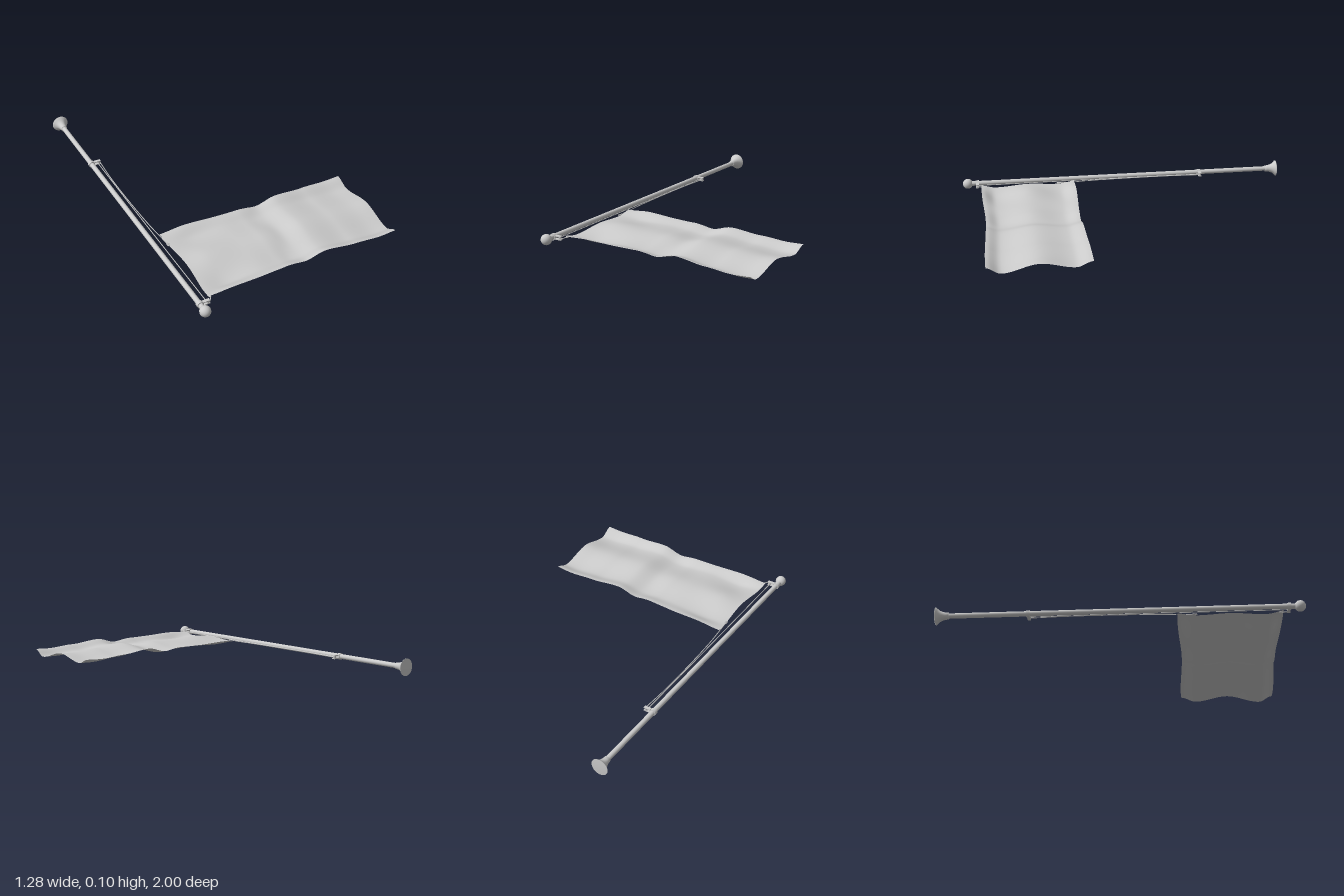
import * as THREE from 'three';

const POLE_X = -0.593, POLE_Y = 0.05;
const V = (x, y, z) => new THREE.Vector3(x, y, z);

// smooth interpolation through [position, value] pairs
function sample(points, t) {
  let i = 0;
  while (i < points.length - 2 && t > points[i + 1][0]) i++;
  const [a, va] = points[i], [b, vb] = points[i + 1];
  const k = THREE.MathUtils.smoothstep(t, a, b);
  return va + (vb - va) * k;
}

export function createModel() {
  const group = new THREE.Group();
  const mat = new THREE.MeshStandardMaterial({ color: 0xcccccc });
  const clothMat = new THREE.MeshStandardMaterial({ color: 0xcccccc, side: THREE.DoubleSide });

  const add = (name, geo, x = 0, y = 0, z = 0, parent = group, m = mat) => {
    const mesh = new THREE.Mesh(geo, m);
    mesh.name = name;
    mesh.position.set(x, y, z);
    parent.add(mesh);
    return mesh;
  };
  const rope = (name, pts, r = 0.0025) =>
    add(name, new THREE.TubeGeometry(new THREE.CatmullRomCurve3(pts), 48, r, 6));

  // pole lying along z
  const pole = new THREE.CylinderGeometry(0.0145, 0.0145, 1.92, 24).rotateX(Math.PI / 2);
  add('pole', pole, POLE_X, POLE_Y, 0);

  // flared foot with closed end
  const profile = [[0, 0], [0.049, 0], [0.049, 0.003], [0.041, 0.011], [0.031, 0.022],
    [0.024, 0.038], [0.02, 0.055], [0.019, 0.07], [0.0145, 0.071]];
  const foot = new THREE.LatheGeometry(profile.map(p => new THREE.Vector2(...p)), 32).rotateX(Math.PI / 2);
  add('flaredFoot', foot, POLE_X, POLE_Y, -1);

  // ball finial
  add('ballFinial', new THREE.SphereGeometry(0.031, 24, 16), POLE_X, POLE_Y, 0.969);

  // pulley brackets: collar, arm and small wheel
  for (const [name, z] of [['lowerBracket', -0.495], ['upperBracket', 0.91]]) {
    const bracket = new THREE.Group();
    bracket.name = name;
    bracket.position.set(POLE_X, POLE_Y, z);
    group.add(bracket);
    add('collar', new THREE.CylinderGeometry(0.019, 0.019, 0.02, 24).rotateX(Math.PI / 2), 0, 0, 0, bracket);
    for (const s of [-1, 1]) {
      add('cheek', new THREE.BoxGeometry(0.04, 0.005, 0.018), 0.036, s * 0.009, 0, bracket);
    }
    add('wheel', new THREE.CylinderGeometry(0.009, 0.009, 0.014, 16), 0.046, 0, 0, bracket);
  }

  // halyard: one straight run, and one that reaches the cloth corner
  rope('halyardInner', [V(-0.555, 0.05, -0.495), V(-0.556, 0.05, -0.1), V(-0.555, 0.05, 0.4), V(-0.553, 0.05, 0.91)]);
  rope('halyardOuter', [V(-0.54, 0.05, -0.495), V(-0.549, 0.05, -0.3), V(-0.548, 0.05, 0),
    V(-0.54, 0.05, 0.22), V(-0.53, 0.05, 0.34), V(-0.525, 0.052, 0.41)]);
  rope('halyardTop', [V(-0.54, 0.05, 0.915), V(-0.528, 0.05, 0.905), V(-0.52, 0.054, 0.882), V(-0.513, 0.054, 0.865)]);

  // clips at the cloth corners
  for (const [x, z] of [[-0.525, 0.405], [-0.52, 0.875]]) {
    const clip = add('clip', new THREE.TorusGeometry(0.009, 0.0025, 8, 16), x, 0.052, z);
    clip.rotation.set(Math.PI / 2, 0, 0);
    clip.scale.set(0.7, 1.4, 1);
  }

  // rippling cloth: centre height and ripple size along x, ripple shape across z
  const mid = [[-0.53, 0.051], [-0.38, 0.049], [-0.18, 0.051], [-0.06, 0.048], [0.06, 0.037],
    [0.19, 0.063], [0.38, 0.044], [0.55, 0.032], [0.64, 0.035]];
  const amp = [[-0.53, 0.008], [-0.38, 0.021], [-0.18, 0.011], [0, 0.016], [0.08, 0.011],
    [0.2, 0.014], [0.4, 0.017], [0.64, 0.022]];
  const ripple = [[0, 0.9], [0.16, -0.5], [0.5, 1], [0.86, -1], [1, 0.7]];
  const cloth = new THREE.PlaneGeometry(1, 1, 80, 40).rotateX(-Math.PI / 2);
  const pos = cloth.attributes.position;
  for (let i = 0; i < pos.count; i++) {
    const u = pos.getX(i) + 0.5, w = pos.getZ(i) + 0.5;
    const left = -0.532 + 0.016 * Math.sin(Math.PI * w);
    const x = left + (0.636 - left) * u;
    const sway = 0.008 * Math.cos(x * 6.5 - 0.4);
    const z = THREE.MathUtils.lerp(0.318 + sway, 0.878 - sway, w);
    pos.setXYZ(i, x, sample(mid, x) + sample(amp, x) * sample(ripple, w), z);
  }
  cloth.computeVertexNormals();
  add('cloth', cloth, 0, 0, 0, group, clothMat);

  return group;
}
